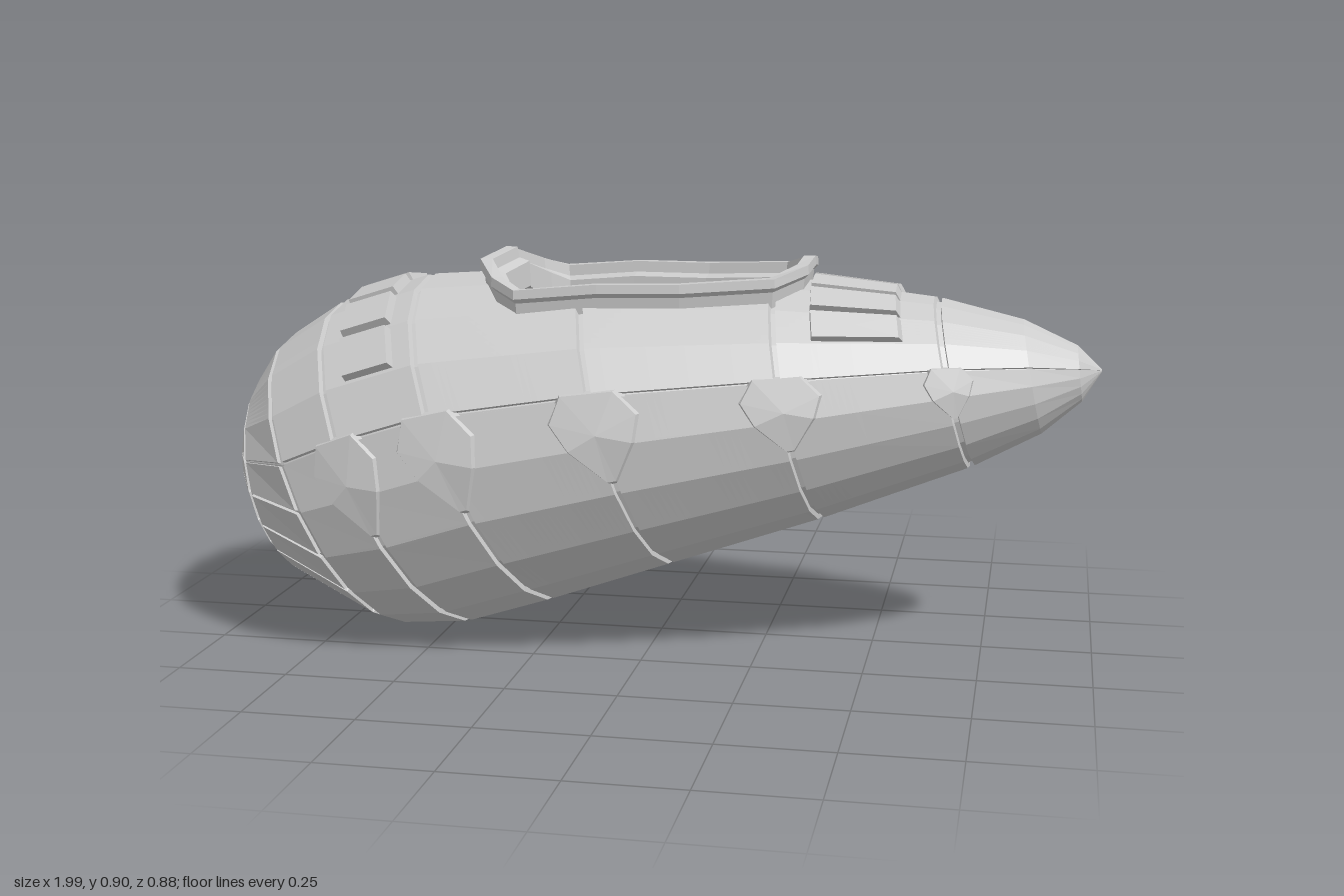
import * as THREE from 'three';

// hull stations: top x, top y, bottom x, bottom y, half width
const STATIONS = [
  [-0.995, 0.445, -0.995, 0.435, 0.005], [-0.985, 0.53, -0.955, 0.25, 0.17],
  [-0.96, 0.60, -0.86, 0.125, 0.28], [-0.9, 0.69, -0.6, 0.01, 0.39],
  [-0.77, 0.775, -0.43, 0.025, 0.428], [-0.55, 0.845, -0.23, 0.09, 0.435],
  [-0.16, 0.872, 0.05, 0.19, 0.402], [0.27, 0.86, 0.39, 0.31, 0.33],
  [0.63, 0.82, 0.72, 0.44, 0.22], [0.82, 0.775, 0.87, 0.52, 0.14],
  [0.94, 0.72, 0.955, 0.595, 0.07], [0.995, 0.668, 0.995, 0.662, 0.003],
];
const LAST = STATIONS.length - 1;
const STEP = Math.PI / 10; // twenty sides
const SEAMS = [2, 3, 4, 5, 6, 7, 8];

function station(t) {
  const i = Math.min(LAST - 1, Math.max(0, Math.floor(t)));
  return STATIONS[i].map((v, j) => v + (STATIONS[i + 1][j] - v) * (t - i));
}
const midX = (t) => { const s = station(t); return (s[0] + s[2]) / 2; };
// station parameter reached by moving dx along the hull from seam i
const shift = (i, dx) => i + dx / Math.abs(midX(i + Math.sign(dx || 1)) - midX(i));

// point on the faceted hull: t runs tail to nose, k counts sides from the top
function hullPoint(t, k, lift = 0) {
  const [tx, ty, bx, by, hw] = station(t);
  const k0 = Math.floor(k), f = k - k0;
  const mix = (fn) => fn(k0 * STEP) * (1 - f) + fn((k0 + 1) * STEP) * f;
  const grow = 1 + Math.max(-0.12, lift / hw);
  const c = mix(Math.cos) * grow, s = mix(Math.sin) * grow;
  return new THREE.Vector3((tx + bx) / 2 + (tx - bx) / 2 * c, (ty + by) / 2 + (ty - by) / 2 * c, hw * s);
}

// height of the upper hull above a plan position
function hullTop(x, z) {
  let lo = 3, hi = 9, k = 0;
  for (let n = 0; n < 30; n++) {
    const t = (lo + hi) / 2;
    k = Math.asin(THREE.MathUtils.clamp(z / station(t)[4], -1, 1)) / STEP;
    if (hullPoint(t, k).x < x) lo = t; else hi = t;
  }
  return hullPoint(lo, k).y;
}

// cockpit outline in plan (x, z), mirrored across the centre line
const HALF = [[0.34, 0.09], [0.28, 0.17], [0.08, 0.215], [-0.1, 0.235], [-0.28, 0.25], [-0.34, 0.2], [-0.39, 0.11]];
const OUTLINE = [...HALF, [-0.36, 0], ...HALF.slice().reverse().map(([x, z]) => [x, -z]), [0.345, 0]]
  .map(([x, z]) => new THREE.Vector2(x, z));

function offsetOutline(d) {
  const n = OUTLINE.length;
  return OUTLINE.map((p, i) => {
    const a = p.clone().sub(OUTLINE[(i + n - 1) % n]).normalize();
    const b = OUTLINE[(i + 1) % n].clone().sub(p).normalize();
    const na = new THREE.Vector2(a.y, -a.x), nb = new THREE.Vector2(b.y, -b.x);
    const m = na.clone().add(nb).normalize();
    return p.clone().addScaledVector(m, d / Math.max(0.5, m.dot(na)));
  });
}

function inside(poly, x, z) {
  let hit = false;
  for (let i = 0, j = poly.length - 1; i < poly.length; j = i++) {
    const a = poly[i], b = poly[j];
    if ((a.y > z) !== (b.y > z) && x < (b.x - a.x) * (z - a.y) / (b.y - a.y) + a.x) hit = !hit;
  }
  return hit;
}

function makeMesh(name, tris) {
  const g = new THREE.BufferGeometry().setFromPoints(tris);
  g.computeVertexNormals();
  const mesh = new THREE.Mesh(g, new THREE.MeshStandardMaterial({
    color: 0xcccccc, flatShading: true, side: THREE.DoubleSide }));
  mesh.name = name;
  return mesh;
}
const quad = (out, a, b, c, d) => out.push(a, b, c, a, c, d);
const sorted = (list) => [...new Set(list.map((v) => +v.toFixed(4)))].sort((a, b) => a - b);

// hull shell with sunken seams and the cockpit opening
function makeHull() {
  const ts = [], ks = [], W = 0.008, w = 0.005, KW = 0.045, kw = 0.03;
  for (let i = 0; i <= LAST; i++) {
    if (SEAMS.includes(i)) ts.push(...[-W, -w, w, W].map((d) => shift(i, d)));
    else ts.push(i);
  }
  for (let t = 5.1; t < 7.5; t += 0.04) ts.push(t);
  for (let k = 0; k <= 10; k++) {
    const lines = k < 4 ? [k] : [k - KW, k - kw, k, k + kw, k + KW];
    for (const v of lines) if (v <= 10) ks.push(v, -v);
  }
  for (let k = -3; k <= 3; k += 0.125) ks.push(k);
  const T = sorted(ts), K = sorted(ks);

  const point = (t, k) => {
    const i = Math.round(t), j = Math.abs(k);
    const ring = SEAMS.includes(i) && Math.abs(midX(t) - midX(i)) < 0.0065;
    const fan = j > 3.9 && Math.abs(j - Math.round(j)) < 0.035 && (Math.round(j) === 4 || (t < 3 && t > 0.5));
    return hullPoint(t, k, ring || fan ? -0.013 : 0);
  };
  const hole = offsetOutline(-0.03), out = [];
  for (let i = 0; i < T.length - 1; i++) for (let j = 0; j < K.length - 1; j++) {
    const a = point(T[i], K[j]), b = point(T[i], K[j + 1]);
    const c = point(T[i + 1], K[j + 1]), d = point(T[i + 1], K[j]);
    const m = a.clone().add(c).multiplyScalar(0.5);
    if (Math.abs(K[j]) <= 4 && inside(hole, m.x, m.z)) continue;
    quad(out, a, b, c, d);
  }
  return makeMesh('hull', out);
}

// stepped coaming around the cockpit: plan offset, height above hull
function makeRim() {
  const profile = [[-0.006, -0.03], [0, 0.025], [0.01, 0.035], [0.008, 0.055], [-0.018, 0.055],
    [-0.022, 0.03], [-0.045, 0.022], [-0.048, -0.035], [-0.02, -0.035]];
  const base = OUTLINE.map((p) => hullTop(p.x, p.y));
  const loops = profile.map(([o, h]) =>
    offsetOutline(o).map((p, i) => new THREE.Vector3(p.x, base[i] + h, p.y)));
  const out = [], n = OUTLINE.length;
  for (let r = 0; r < loops.length - 1; r++) for (let i = 0; i < n; i++) {
    const A = loops[r], B = loops[r + 1], j = (i + 1) % n;
    quad(out, A[i], B[i], B[j], A[j]);
  }
  return makeMesh('cockpitRim', out);
}

// raised plate with sloping edges on the hull, corners given as [t, k]
function makePlate(name, corners, height, inset) {
  const n = corners.length, out = [];
  const mid = [0, 1].map((a) => corners.reduce((s, c) => s + c[a], 0) / n);
  const low = corners.map(([t, k]) => hullPoint(t, k, -0.008));
  const high = corners.map(([t, k]) =>
    hullPoint(t + (mid[0] - t) * inset, k + (mid[1] - k) * inset, height));
  const top = hullPoint(mid[0], mid[1], height);
  const flip = mid[1] < 0 && name === 'sidePlate';
  for (let i = 0; i < n; i++) {
    const j = (i + 1) % n, [p, q] = flip ? [j, i] : [i, j];
    quad(out, low[p], low[q], high[q], high[p]);
    out.push(top, high[p], high[q]);
  }
  return makeMesh(name, out);
}

export function createModel() {
  const model = new THREE.Group();
  model.name = 'podHull';
  model.add(makeHull(), makeRim());

  // bands of raised blocks behind and ahead of the cockpit
  for (const [name, t0, t1, h] of [['rearBlock', 4.25, 4.78, 0.022], ['frontBlock', 7.22, 7.78, 0.022]]) {
    for (let k = -3; k < 3; k++) {
      const a = k + 0.06, b = k + 0.94;
      model.add(makePlate(name, [[t0, a], [t0, b], [t1, b], [t1, a]], h, 0.08));
    }
  }

  // pointed plates where the ring seams cross the side seam
  const half = [[0.6, 3.85], [1, 4.4], [0.75, 5], [0.1, 5.8]];
  const shape = [...half.map(([a, k]) => [-a, k]), ...half.slice().reverse()];
  [[4, 0.08], [5, 0.09], [6, 0.1], [7, 0.09], [8, 0.055]].forEach(([i, size]) => {
    for (const side of [1, -1]) {
      model.add(makePlate('sidePlate', shape.map(([a, k]) => [shift(i, a * size), k * side]), 0.01, 0.1));
    }
  });
  return model;
}
